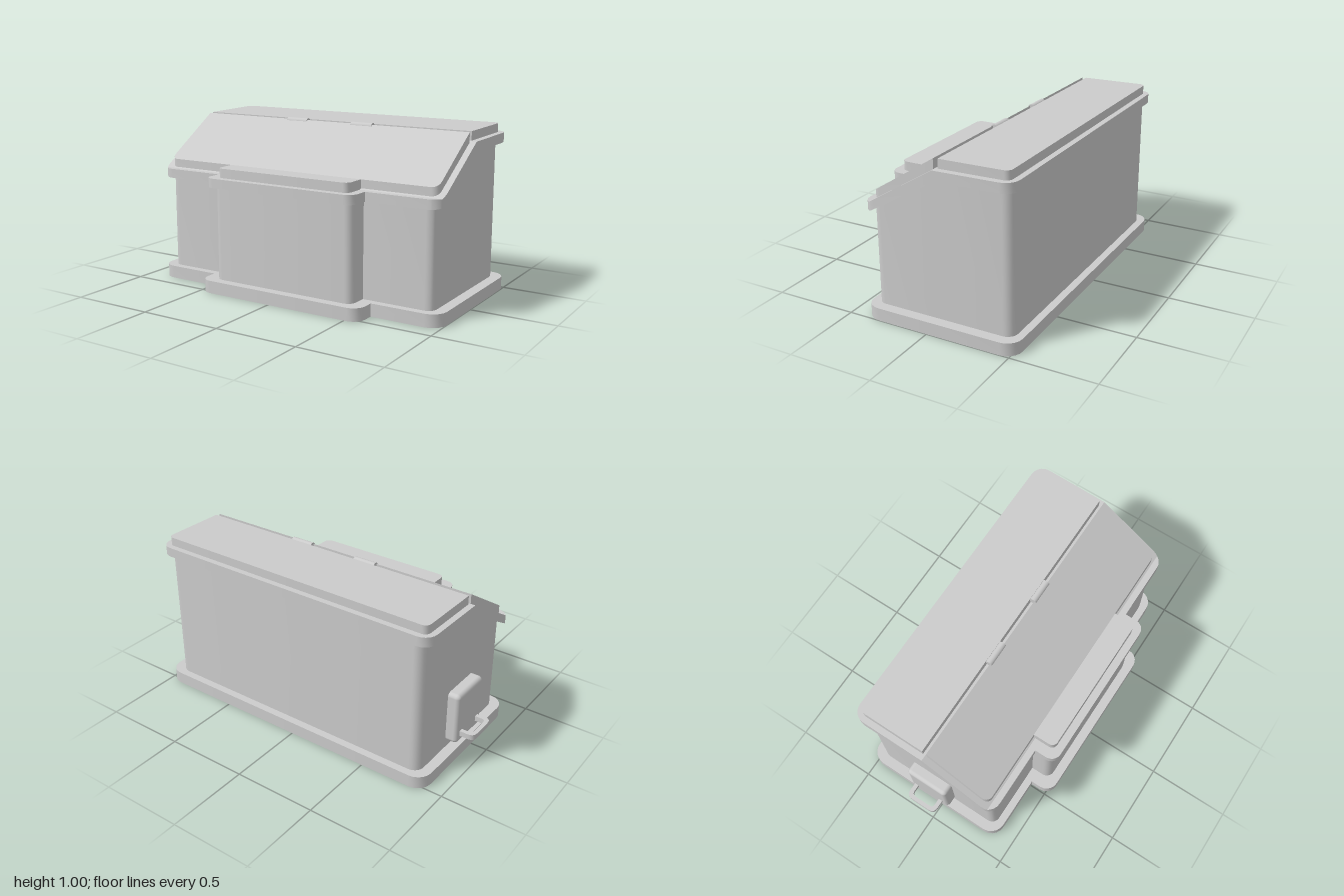
import * as THREE from 'three';
import { toCreasedNormals } from 'three/addons/utils/BufferGeometryUtils.js';
import { RoundedBoxGeometry } from 'three/addons/geometries/RoundedBoxGeometry.js';

const grey = new THREE.MeshStandardMaterial({ color: 0xcccccc });

// Height along a side profile given as [z, y] pairs with z ascending
function heightAt(profile, z) {
  if (z <= profile[0][0]) return profile[0][1];
  for (let i = 1; i < profile.length; i++) {
    const [za, ya] = profile[i - 1], [zb, yb] = profile[i];
    if (z <= zb) return ya + (yb - ya) * (z - za) / (zb - za);
  }
  return profile[profile.length - 1][1];
}

// Stations [z, left x, right x] of a plan rectangle with rounded back and front corners
function stations({ x0, x1, z0, z1, back = 0, front = 0 }, kinks) {
  const zs = new Set([z0, z1]);
  for (let i = 0; i <= 5; i++) {
    const c = Math.cos(i / 5 * Math.PI / 2);
    zs.add(z0 + back * (1 - c));
    zs.add(z1 - front * (1 - c));
  }
  kinks.filter(z => z > z0 && z < z1).forEach(z => zs.add(z));
  return [...zs].sort((a, b) => a - b).map(z => {
    const db = Math.max(0, z0 + back - z), df = Math.max(0, z - z1 + front);
    let inset = 0;
    if (db > 0) inset = back - Math.sqrt(Math.max(0, back * back - db * db));
    if (df > 0) inset = front - Math.sqrt(Math.max(0, front * front - df * df));
    return [z, x0 + inset, x1 - inset];
  });
}

// Solid lofted along z through rectangular sections, between two side profiles
function loft(name, plans, bottom, top) {
  const kinks = [...bottom, ...top].map(p => p[0]);
  const sections = plans.flatMap(p => stations(p, kinks)).map(([z, l, r]) => {
    const b = heightAt(bottom, z), t = heightAt(top, z);
    return [[l, b, z], [r, b, z], [r, t, z], [l, t, z]].map(v => new THREE.Vector3(...v));
  });
  const pos = [], tri = new THREE.Triangle();
  const face = (a, b, c) => {
    if (tri.set(a, b, c).getArea() > 1e-8) [a, b, c].forEach(v => pos.push(v.x, v.y, v.z));
  };
  const quad = (a, b, c, d) => { face(a, b, c); face(a, c, d); };
  for (let s = 1; s < sections.length; s++) {
    const p = sections[s - 1], q = sections[s];
    for (let i = 0; i < 4; i++) {
      const j = (i + 1) % 4;
      quad(p[i], p[j], q[j], q[i]);
    }
  }
  quad(...sections[0].slice().reverse());
  quad(...sections[sections.length - 1]);
  const geo = new THREE.BufferGeometry();
  geo.setAttribute('position', new THREE.Float32BufferAttribute(pos, 3));
  geo.computeVertexNormals();
  return named(name, toCreasedNormals(geo, 0.45));
}

function named(name, geo) {
  const mesh = new THREE.Mesh(geo, grey);
  mesh.name = name;
  return mesh;
}

export function createModel() {
  const group = new THREE.Group();

  // Side profiles shared by the body, rim and lids
  const rimBottom = [[-0.515, 0.885], [-0.07, 0.878], [0.34, 0.638], [0.385, 0.63]];
  const rimTop = [[-0.515, 0.942], [-0.055, 0.935], [0.35, 0.685]];
  const raise = (profile, d) => profile.map(([z, y]) => [z, y + d]);

  // Plinth
  group.add(loft('base', [
    { x0: -0.9, x1: 1, z0: -0.535, z1: 0.4, back: 0.09, front: 0.09 },
    { x0: -0.49, x1: 0.59, z0: 0.4, z1: 0.535, front: 0.075 },
  ], [[0, 0]], [[0, 0.075]]));

  // Walls, reaching just into the rim
  group.add(loft('body', [
    { x0: -0.84, x1: 0.937, z0: -0.49, z1: 0.355, back: 0.06, front: 0.05 },
    { x0: -0.415, x1: 0.515, z0: 0.355, z1: 0.48, front: 0.05 },
  ], [[0, 0.07]], raise(rimBottom, 0.015)));

  // Overhanging rim
  group.add(loft('rim', [
    { x0: -0.885, x1: 0.982, z0: -0.515, z1: 0.388, back: 0.075, front: 0.075 },
    { x0: -0.45, x1: 0.54, z0: 0.388, z1: 0.52, front: 0.06 },
  ], rimBottom, rimTop));

  // Sloping front lid with its lip, and the flat back lid
  group.add(loft('frontLid', [
    { x0: -0.85, x1: 0.945, z0: -0.043, z1: 0.34, front: 0.04 },
    { x0: -0.39, x1: 0.487, z0: 0.34, z1: 0.475, front: 0.035 },
  ], raise(rimTop, -0.01), [[-0.043, 0.985], [0.34, 0.74]]));
  group.add(loft('backLid', [
    { x0: -0.85, x1: 0.945, z0: -0.48, z1: -0.07, back: 0.035 },
  ], raise(rimTop, -0.01), [[-0.48, 0.993], [-0.07, 0.988]]));

  // Hinges between the lids
  for (const x of [-0.175, 0.27]) {
    const hinge = named('hinge', new THREE.CylinderGeometry(0.022, 0.022, 0.14, 16));
    hinge.rotation.z = Math.PI / 2;
    hinge.position.set(x, 0.973, -0.052);
    group.add(hinge);
  }

  // Side box
  const box = named('sideBox', new RoundedBoxGeometry(0.1, 0.32, 0.27, 4, 0.025));
  box.position.set(-0.861, 0.28, -0.07);
  group.add(box);

  // Flat loop handle projecting from the side box
  const rounded = (Type, x0, x1, y0, y1, r) => {
    const s = new Type();
    s.moveTo(x1, y0).lineTo(x1, y1).lineTo(x0 + r, y1);
    s.quadraticCurveTo(x0, y1, x0, y1 - r).lineTo(x0, y0 + r);
    s.quadraticCurveTo(x0, y0, x0 + r, y0).closePath();
    return s;
  };
  const loop = rounded(THREE.Shape, -1, -0.87, -0.025, 0.175, 0.04);
  loop.holes.push(rounded(THREE.Path, -0.976, -0.89, 0, 0.15, 0.025));
  const handleGeo = new THREE.ExtrudeGeometry(loop, { depth: 0.032, bevelEnabled: false, curveSegments: 6 });
  const handle = named('handle', toCreasedNormals(handleGeo, 0.6));
  handle.rotation.x = -Math.PI / 2;
  handle.position.y = 0.167;
  group.add(handle);

  return group;
}
